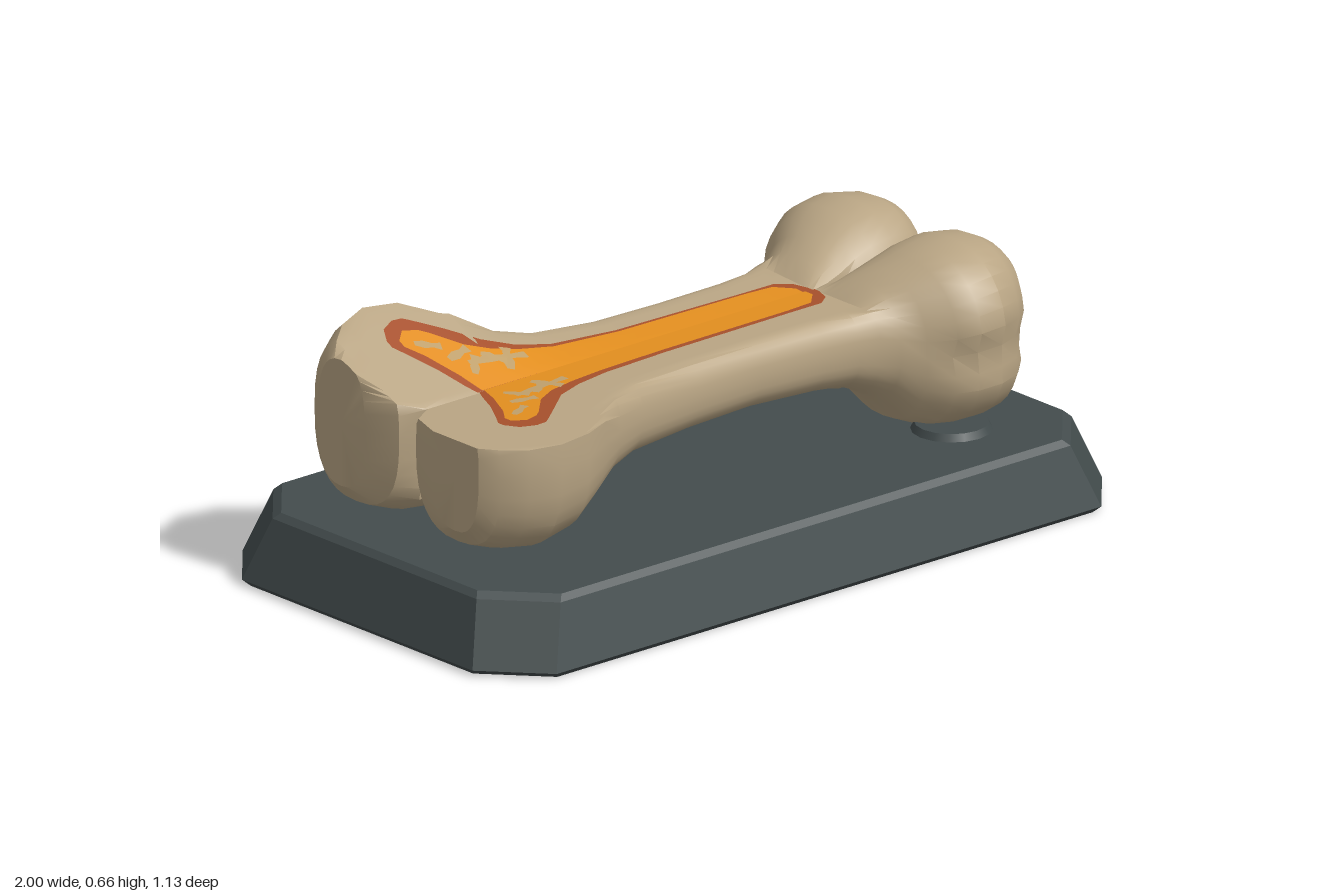
import * as THREE from 'three';
import { toCreasedNormals } from 'three/addons/utils/BufferGeometryUtils.js';

const mat = (name, color, side = THREE.FrontSide) => {
  const m = new THREE.MeshStandardMaterial({ color, side });
  m.name = name;
  return m;
};

// Linear lookup in rows sorted by their first entry
function look(rows, x, col = 1) {
  if (x <= rows[0][0]) return rows[0][col];
  for (let i = 1; i < rows.length; i++) {
    const a = rows[i - 1], b = rows[i];
    if (x <= b[0]) return a[col] + (b[col] - a[col]) * (x - a[0]) / (b[0] - a[0]);
  }
  return rows[rows.length - 1][col];
}

// Skin over point rows; closed rings also get end caps
function skin(rows, { closed = true, flip = false, crease = 0.5 } = {}) {
  const n = rows[0].length, pos = rows.flat(2), idx = [];
  const tri = (a, b, c) => (flip ? idx.push(a, c, b) : idx.push(a, b, c));
  for (let i = 0; i < rows.length - 1; i++) {
    for (let j = 0; j < (closed ? n : n - 1); j++) {
      const k = (j + 1) % n, a = i * n + j, b = i * n + k;
      tri(a, a + n, b);
      tri(b, a + n, b + n);
    }
  }
  if (closed) {
    [0, rows.length - 1].forEach((r, end) => {
      const c = pos.length / 3;
      for (let d = 0; d < 3; d++) pos.push(rows[r].reduce((s, p) => s + p[d], 0) / n);
      for (let j = 0; j < n; j++) {
        const a = r * n + j, b = r * n + (j + 1) % n;
        end ? tri(c, b, a) : tri(c, a, b);
      }
    });
  }
  const g = new THREE.BufferGeometry();
  g.setAttribute('position', new THREE.Float32BufferAttribute(pos, 3));
  g.setIndex(idx);
  return toCreasedNormals(g, crease);
}

// Bone stations: x, inner z, outer z, bottom y, top y before cutting
const BONE = [
  [-0.87, 0.12, 0.29, 0.28, 0.60], [-0.84, 0.03, 0.335, 0.24, 0.64],
  [-0.78, -0.02, 0.375, 0.22, 0.67], [-0.7, -0.03, 0.40, 0.21, 0.69],
  [-0.6, -0.03, 0.385, 0.225, 0.68], [-0.5, -0.03, 0.33, 0.26, 0.635],
  [-0.4, -0.03, 0.27, 0.30, 0.57], [-0.3, -0.03, 0.235, 0.32, 0.545],
  [-0.1, -0.03, 0.215, 0.33, 0.53], [0.1, -0.03, 0.21, 0.335, 0.528],
  [0.3, -0.03, 0.215, 0.325, 0.528], [0.4, -0.03, 0.225, 0.315, 0.53],
  [0.45, -0.03, 0.24, 0.295, 0.54], [0.5, -0.03, 0.26, 0.265, 0.55],
  [0.55, -0.03, 0.30, 0.205, 0.575], [0.6, -0.03, 0.355, 0.187, 0.60],
  [0.65, -0.03, 0.385, 0.185, 0.62], [0.72, -0.03, 0.39, 0.185, 0.63],
  [0.79, -0.01, 0.36, 0.187, 0.62], [0.83, 0.02, 0.33, 0.22, 0.60],
  [0.86, 0.08, 0.28, 0.35, 0.57], [0.885, 0.14, 0.23, 0.44, 0.53],
];
const SLOPE = [[-0.5, 0.47], [-0.3, 0.2], [-0.1, 0.1], [0.45, 0.06]];

// Height of the cut face, and the inner wall leaning away from the middle
const cutY = (s, x, z) => (s > 0 ? 0.511 : 0.507 + look(SLOPE, x) * Math.max(z, 0));
const wallZ = (y) => 0.004 + 0.08 * Math.max(0, 0.5 - y);

function boneHalf(s) {
  const N = 32;
  const rows = BONE.map(([x, zi, zo, yb, yt]) => {
    const ring = [], e = x < 0.5 ? 2 / 2.6 : 2 / 2.3;
    const pw = (v) => Math.sign(v) * Math.abs(v) ** e;
    for (let j = 0; j < N; j++) {
      const t = (j / N) * Math.PI * 2;
      let z = (zi + zo) / 2 + (zo - zi) / 2 * pw(Math.cos(t));
      let y = (yb + yt) / 2 + (yt - yb) / 2 * pw(Math.sin(t));
      // groove between the two bulges of the knob
      if (x > 0.58 && z > 0.2) z -= 0.025 * Math.exp(-(((y - 0.385) / 0.04) ** 2));
      if (x < 0.48) y = Math.min(y, cutY(s, x, z));
      z = Math.max(z, wallZ(y));
      ring.push([x, y, z * s]);
    }
    return ring;
  });
  return skin(rows, { flip: s < 0 });
}

// Painted area on the cut face: x, inner z, outer z
const RIM = [
  [-0.72, 0.19, 0.21], [-0.7, 0.16, 0.245], [-0.66, 0.095, 0.262], [-0.63, 0.03, 0.26],
  [-0.615, 0, 0.25], [-0.55, 0, 0.2], [-0.48, 0, 0.145], [-0.4, 0, 0.117], [-0.3, 0, 0.1],
  [-0.1, 0, 0.09], [0.3, 0, 0.085], [0.4, 0, 0.085], [0.435, 0, 0.06], [0.45, 0, 0.02],
];
const MARROW = [
  [-0.69, 0.18, 0.2], [-0.66, 0.14, 0.225], [-0.62, 0.06, 0.215], [-0.6, 0, 0.2],
  [-0.54, 0, 0.14], [-0.48, 0, 0.11], [-0.4, 0, 0.095], [-0.3, 0, 0.085],
  [-0.1, 0, 0.078], [0.3, 0, 0.075], [0.38, 0, 0.07], [0.42, 0, 0.03],
];
function cutPlate(s, table, lift) {
  const rows = table.map(([x, a, b]) => [0, 1, 2, 3].map((k) => {
    const z = Math.max(0.003, a + (b - a) * k / 3);
    return [x, cutY(s, x, z) + lift, z * s];
  }));
  return skin(rows, { closed: false, flip: s < 0 });
}

// Painted inner wall facing the other half
function wallPlate(s, x0, x1, inset, lift) {
  const rows = [];
  for (let i = 0; i <= 16; i++) {
    const x = x0 + (x1 - x0) * i / 16, yb = Math.max(look(BONE, x, 3) + 0.05, 0.26) + inset;
    rows.push([0, 1, 2, 3].map((k) => {
      const y = yb + (0.5 - inset * 0.3 - yb) * k / 3;
      return [x, y, (wallZ(y) - lift) * s];
    }));
  }
  return skin(rows, { closed: false, flip: s > 0 });
}

// Small spongy struts across the marrow: x, z to x, z, width
const STRUTS = [
  [-0.57, 0.085, -0.4, 0.07, 0.02], [-0.48, 0.035, -0.44, 0.105, 0.025],
  [-0.52, 0.1, -0.47, 0.06, 0.02], [-0.66, 0.18, -0.6, 0.15, 0.02],
  [-0.61, 0.11, -0.54, 0.125, 0.022], [-0.58, 0.05, -0.54, 0.1, 0.02],
];
function strut(s, [x0, z0, x1, z1, w]) {
  const l = Math.hypot(x1 - x0, z1 - z0), nx = -(z1 - z0) / l * w / 2, nz = (x1 - x0) / l * w / 2;
  const rows = [0, 0.35, 0.7, 1].map((t, i) => {
    const x = x0 + (x1 - x0) * t, z = z0 + (z1 - z0) * t, k = i % 2 ? 1.2 : 0.7;
    return [-k, k].map((q) => [x + nx * q, cutY(s, x, z + nz * q) + 0.006, (z + nz * q) * s]);
  });
  return skin(rows, { closed: false, flip: s < 0 });
}

// Octagonal plinth ring
function plinthRing(y, hx, hz) {
  const cx = hx - 0.135, cz = hz - 0.15;
  return [[hx, -cz], [hx, cz], [cx, hz], [-cx, hz], [-hx, cz], [-hx, -cz], [-cx, -hz], [cx, -hz]]
    .map(([x, z]) => [x, y, z]);
}

export function createModel() {
  const model = new THREE.Group();
  model.name = 'splitBoneOnPlinth';
  const slate = mat('slate', 0x434c4d);
  const bone = mat('bone', 0xb9a584);
  const rust = mat('rust', 0xa6502c, THREE.DoubleSide);
  const orange = mat('marrowOrange', 0xe28e1f, THREE.DoubleSide);
  const spongy = mat('spongyBone', 0xbfa06c, THREE.DoubleSide);
  const add = (parent, name, geo, m) => {
    const mesh = new THREE.Mesh(geo, m);
    mesh.name = name;
    parent.add(mesh);
    return mesh;
  };

  // Plinth with cut corners and a narrow softened rim
  add(model, 'plinth', skin([
    plinthRing(0, 0.985, 0.55), plinthRing(0.015, 1, 0.565),
    plinthRing(0.17, 0.945, 0.517), plinthRing(0.185, 0.93, 0.503),
  ], { crease: 0.2 }), slate);

  // Two halves side by side, opened along the middle
  for (const s of [1, -1]) {
    const half = new THREE.Group();
    half.name = s > 0 ? 'frontHalf' : 'backHalf';
    model.add(half);
    add(half, 'boneShell', boneHalf(s), bone);
    add(half, 'marrowRim', cutPlate(s, RIM, 0.002), rust);
    add(half, 'marrow', cutPlate(s, MARROW, 0.004), orange);
    add(half, 'innerWallRim', wallPlate(s, -0.72, 0.78, 0, 0.001), rust);
    add(half, 'innerWallMarrow', wallPlate(s, -0.66, 0.75, 0.02, 0.003), orange);
    STRUTS.forEach((d) => add(half, 'spongyStrut', strut(s, d), spongy));
    // Low pad beneath the knob
    const pad = add(half, 'supportPad', new THREE.CylinderGeometry(0.09, 0.1, 0.02, 16), slate);
    pad.position.set(0.65, 0.193, 0.27 * s);
  }
  return model;
}
